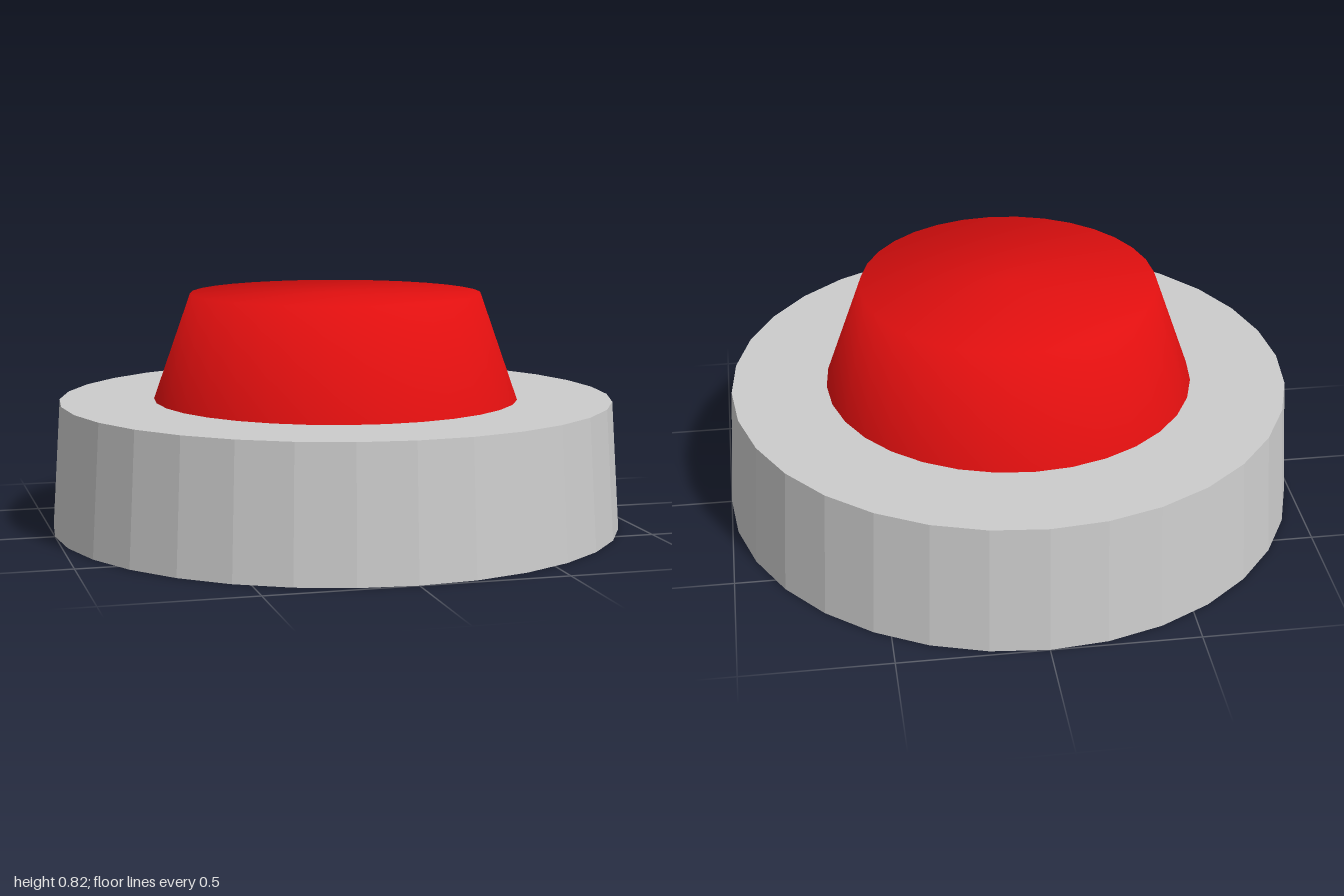
import * as THREE from 'three';

const SIDES = 32;

export function createModel() {
  const group = new THREE.Group();
  group.name = 'pushButton';

  const grey = new THREE.MeshStandardMaterial({ color: 0xcccccc });
  grey.name = 'light grey';
  const red = new THREE.MeshStandardMaterial({ color: 0xe00f0f });
  red.name = 'red';

  // Faceted, slightly tapered housing
  const baseGeometry = new THREE.CylinderGeometry(0.97, 1, 0.45, SIDES).toNonIndexed();
  baseGeometry.computeVertexNormals();
  const base = new THREE.Mesh(baseGeometry, grey);
  base.name = 'base';
  base.position.y = 0.225;
  group.add(base);

  // Tapered cap, smooth-shaded over its rim and flat top
  const profile = [[0.64, 0.45], [0.51, 0.82], [0, 0.82]].map(([r, y]) => new THREE.Vector2(r, y));
  const cap = new THREE.Mesh(new THREE.LatheGeometry(profile, SIDES), red);
  cap.name = 'buttonCap';
  group.add(cap);

  return group;
}
